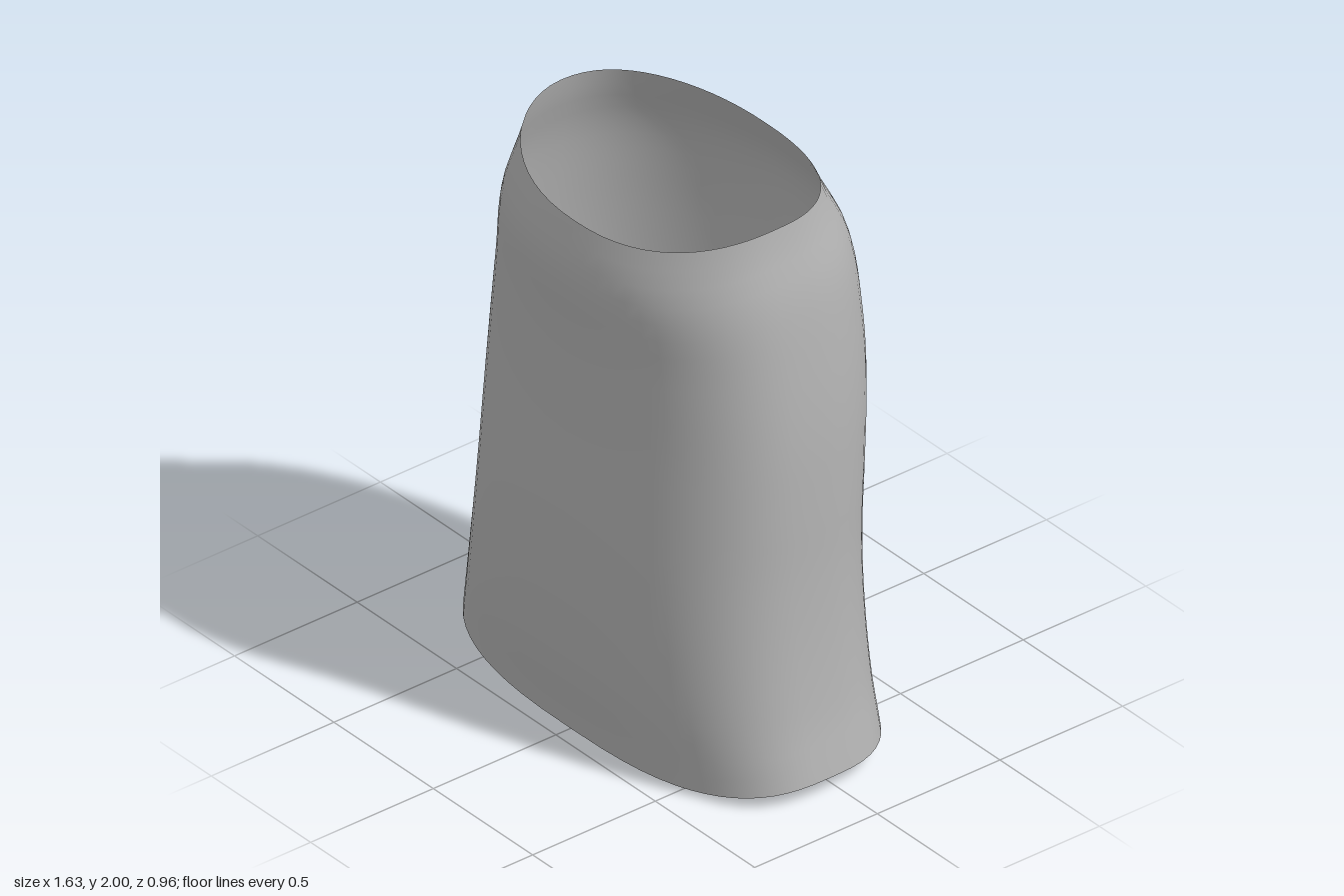
import * as THREE from 'three';

// Smooth curve through values spaced evenly from y = 0 to y = 2
function profile(values) {
  const curve = new THREE.SplineCurve(values.map((v, i) => new THREE.Vector2(i, v)));
  return (y) => curve.getPoint(THREE.MathUtils.clamp(y / 2, 0, 1)).y;
}

const halfWidth = profile([0.825, 0.772, 0.735, 0.712, 0.7, 0.685, 0.658, 0.62, 0.555]);
const frontDepth = profile([0.44, 0.472, 0.482, 0.478, 0.465, 0.453, 0.453, 0.464, 0.4]);
const backDepth = profile([0.4, 0.392, 0.395, 0.41, 0.445, 0.478, 0.488, 0.46, 0.345]);
const CENTRE_Z = 0.03;

// Waist edge dips at the front and a little at the back; hem dips at the front
const waistY = (s) => (s > 0 ? 2 - 0.095 * s ** 1.6 : 2 - 0.045 * s * s);
const hemY = (s) => (s > 0 ? 0.06 * (1 - s ** 1.6) : 0.06 - 0.02 * s ** 4);

// Rounded-oval cross-section, squarer towards the hem
function skirtPoint(angle, t) {
  const c = Math.cos(angle), s = Math.sin(angle);
  const y = THREE.MathUtils.lerp(hemY(s), waistY(s), t);
  const power = 2 / THREE.MathUtils.lerp(2.75, 2.2, y / 2);
  const x = halfWidth(y) * Math.sign(c) * Math.abs(c) ** power;
  const depth = s > 0 ? frontDepth(y) - CENTRE_Z : backDepth(y) + CENTRE_Z;
  let z = CENTRE_Z + depth * Math.sign(s) * Math.abs(s) ** power;
  // Shallow hollow down the middle of the seat
  if (s < 0) z += 0.02 * Math.exp(-((x / 0.12) ** 2) - ((y - 1.4) / 0.3) ** 2);
  return [x, y, z];
}

export function createModel() {
  const group = new THREE.Group();
  const fabric = new THREE.MeshStandardMaterial({ color: 0xb2b2b2, side: THREE.DoubleSide });
  fabric.name = 'grey fabric';

  // Open tube lofted from hem to waist
  const around = 64, rows = 32;
  const positions = [], indices = [];
  for (let j = 0; j <= rows; j++) {
    for (let i = 0; i < around; i++) {
      positions.push(...skirtPoint((i / around) * Math.PI * 2, j / rows));
      if (j === rows) continue;
      const a = j * around + i, b = j * around + ((i + 1) % around);
      indices.push(a, a + around, b, b, a + around, b + around);
    }
  }
  const geometry = new THREE.BufferGeometry();
  geometry.setAttribute('position', new THREE.Float32BufferAttribute(positions, 3));
  geometry.setIndex(indices);
  geometry.computeVertexNormals();

  const skirt = new THREE.Mesh(geometry, fabric);
  skirt.name = 'skirt';
  group.add(skirt);
  return group;
}
